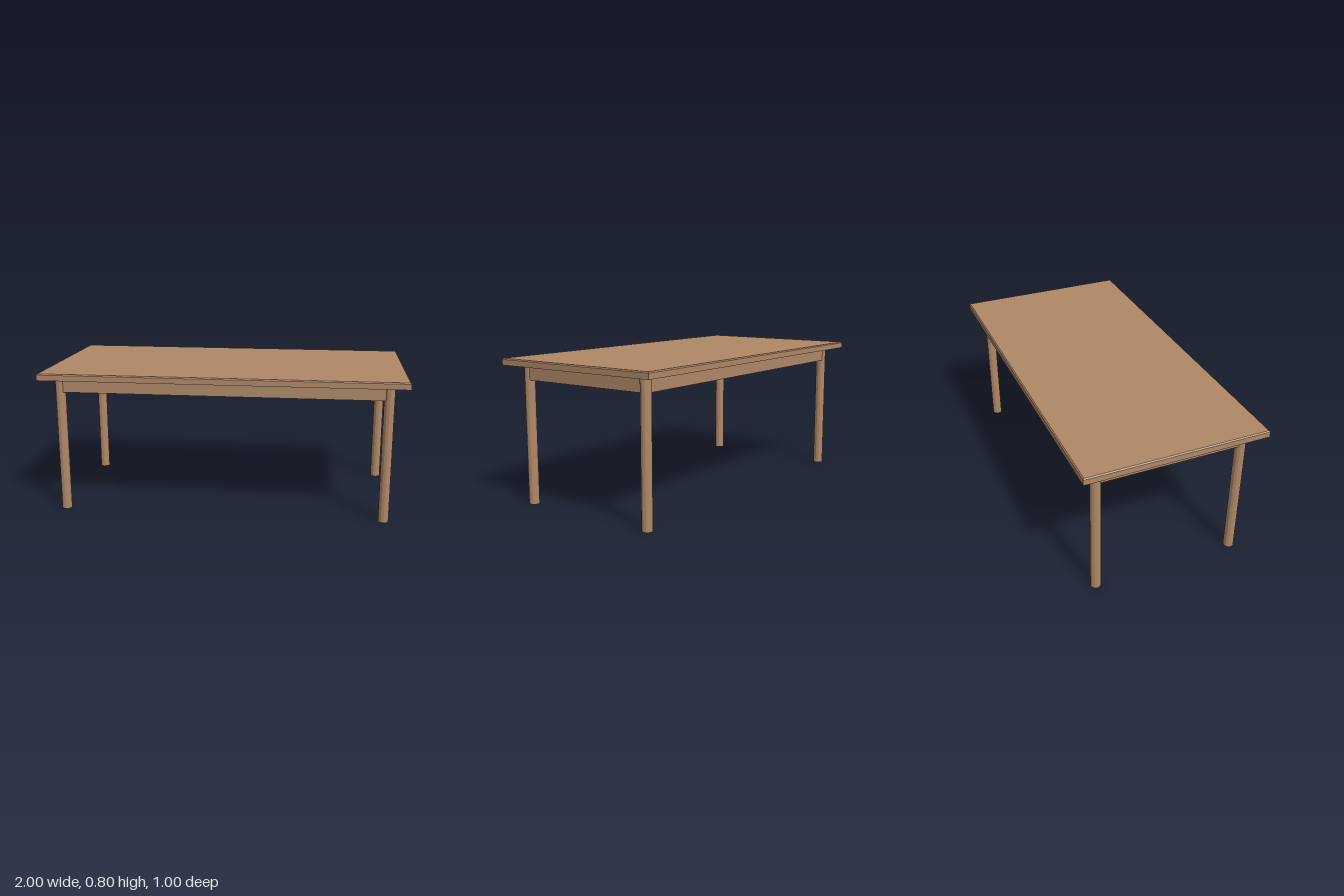
import * as THREE from 'three';

const TOP = 0.8, UNDER = 0.763, APRON_BOTTOM = 0.684;
const LEG_X = 0.9, LEG_Z = 0.4, LEG_R = 0.029, APRON_T = 0.04;

// Tabletop: a slab whose upper edge has a small chamfer
function tabletopGeometry(w, d, h, chamfer) {
  const g = new THREE.BoxGeometry(w, h, d, 1, 2, 1).toNonIndexed();
  const p = g.attributes.position;
  for (let i = 0; i < p.count; i++) {
    const y = p.getY(i);
    if (Math.abs(y) < 1e-6) p.setY(i, h / 2 - chamfer);
    else if (y > 0) {
      p.setX(i, Math.sign(p.getX(i)) * (w / 2 - chamfer));
      p.setZ(i, Math.sign(p.getZ(i)) * (d / 2 - chamfer));
    }
  }
  g.computeVertexNormals();
  return g;
}

export function createModel() {
  const group = new THREE.Group();
  group.name = 'table';

  const wood = new THREE.MeshStandardMaterial({ color: 0xb08968 });
  wood.name = 'wood';

  const add = (name, geometry, x, y, z) => {
    const mesh = new THREE.Mesh(geometry, wood);
    mesh.name = name;
    mesh.position.set(x, y, z);
    group.add(mesh);
  };

  add('tabletop', tabletopGeometry(2, 1, TOP - UNDER, 0.006), 0, (TOP + UNDER) / 2, 0);

  // Round legs, one at each corner
  const legGeometry = new THREE.CylinderGeometry(LEG_R, LEG_R, UNDER, 12).toNonIndexed();
  legGeometry.computeVertexNormals();
  for (const [side, sx] of [['Left', 1], ['Right', -1]])
    for (const [end, sz] of [['front', 1], ['back', -1]])
      add(`${end}${side}Leg`, legGeometry, sx * LEG_X, UNDER / 2, sz * LEG_Z);

  // Apron rails running between the legs
  const apronH = UNDER - APRON_BOTTOM, apronY = (UNDER + APRON_BOTTOM) / 2;
  const longRail = new THREE.BoxGeometry(2 * LEG_X, apronH, APRON_T);
  const shortRail = new THREE.BoxGeometry(APRON_T, apronH, 2 * LEG_Z);
  add('frontApron', longRail, 0, apronY, LEG_Z);
  add('backApron', longRail, 0, apronY, -LEG_Z);
  add('leftApron', shortRail, LEG_X, apronY, 0);
  add('rightApron', shortRail, -LEG_X, apronY, 0);

  return group;
}
